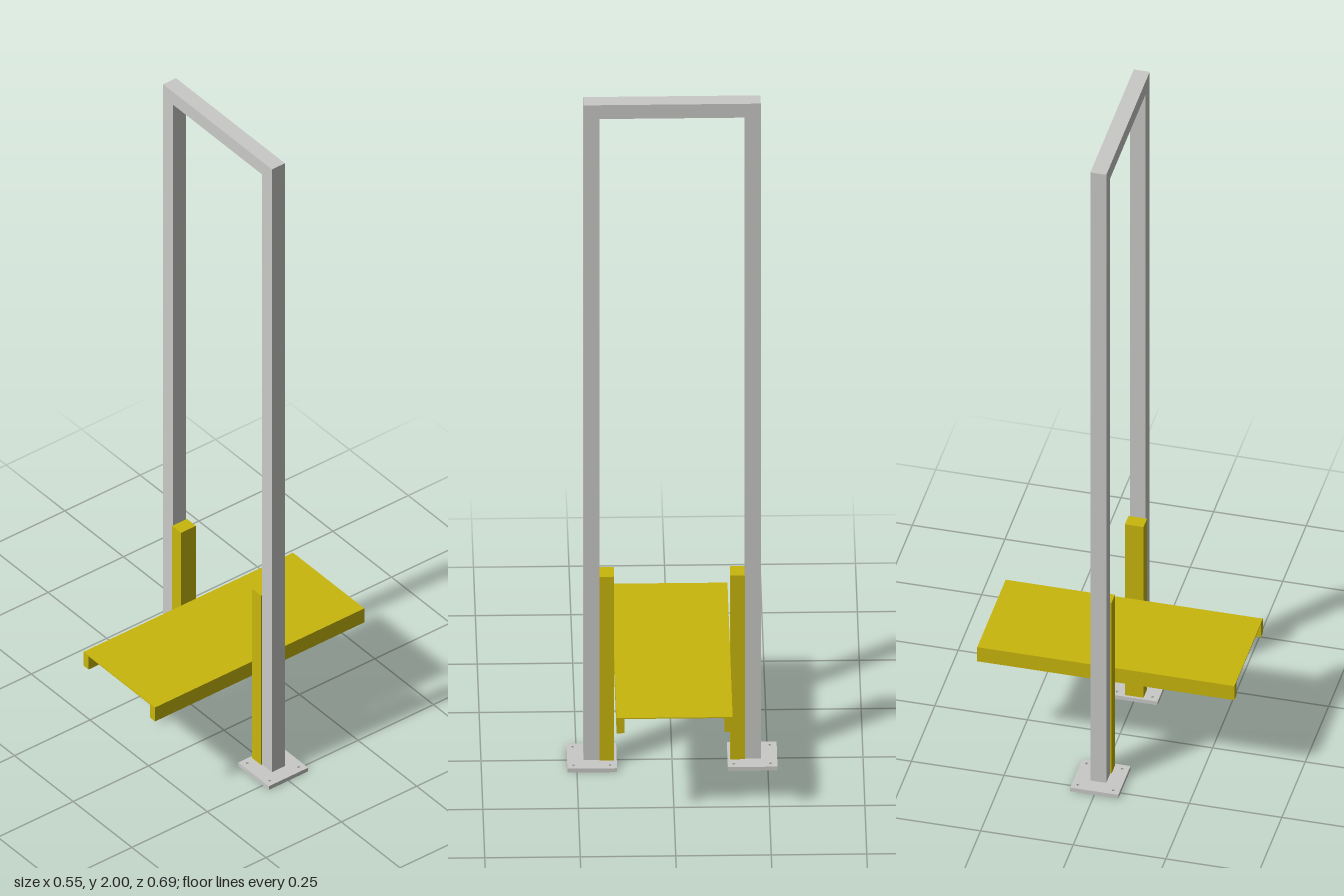
import * as THREE from 'three';

export function createModel() {
  const model = new THREE.Group();
  model.name = 'stepFrame';

  const steel = new THREE.MeshStandardMaterial({ color: 0xc9c9c7 });
  steel.name = 'grey steel';
  const yellow = new THREE.MeshStandardMaterial({ color: 0xc8b60d });
  yellow.name = 'safety yellow';

  const add = (name, geometry, material, x, y, z) => {
    const mesh = new THREE.Mesh(geometry, material);
    mesh.name = name;
    mesh.position.set(x, y, z);
    model.add(mesh);
    return mesh;
  };
  const box = (name, material, w, y0, y1, d, x = 0) =>
    add(name, new THREE.BoxGeometry(w, y1 - y0, d), material, x, (y0 + y1) / 2, 0);

  // Tall upside-down U frame
  const base = 0.012, outer = 0.232, inner = 0.19, depth = 0.043;
  const outline = new THREE.Shape([
    [-outer, base], [-inner, base], [-inner, 1.958], [inner, 1.958],
    [inner, base], [outer, base], [outer, 2], [-outer, 2],
  ].map(([x, y]) => new THREE.Vector2(x, y)));
  add('uprightFrame', new THREE.ExtrudeGeometry(outline, { depth, bevelEnabled: false }),
    steel, 0, 0, -depth / 2);

  // Square foot plate with four bolt holes
  const h = 0.065, bolt = 0.048;
  const plate = new THREE.Shape([
    new THREE.Vector2(-h, -h), new THREE.Vector2(h, -h),
    new THREE.Vector2(h, h), new THREE.Vector2(-h, h),
  ]);
  for (const x of [-bolt, bolt]) {
    for (const y of [-bolt, bolt]) {
      plate.holes.push(new THREE.Path().absarc(x, y, 0.004, 0, Math.PI * 2, true));
    }
  }
  const plateGeometry = new THREE.ExtrudeGeometry(plate, { depth: base, bevelEnabled: false, curveSegments: 8 });
  plateGeometry.rotateX(-Math.PI / 2);

  // Mirrored parts: feet, inner posts, rails under the deck
  for (const [side, s] of [['left', 1], ['right', -1]]) {
    add(side + 'FootPlate', plateGeometry, steel, s * 0.21, 0, 0);
    box(side + 'InnerPost', yellow, 0.038, base, 0.57, 0.05, s * 0.171);
    box(side + 'DeckRail', yellow, 0.021, 0.284, 0.327, 0.694, s * 0.1415);
  }

  // Thin deck sheet on top of the rails
  box('deck', yellow, 0.304, 0.327, 0.33, 0.694);

  return model;
}
